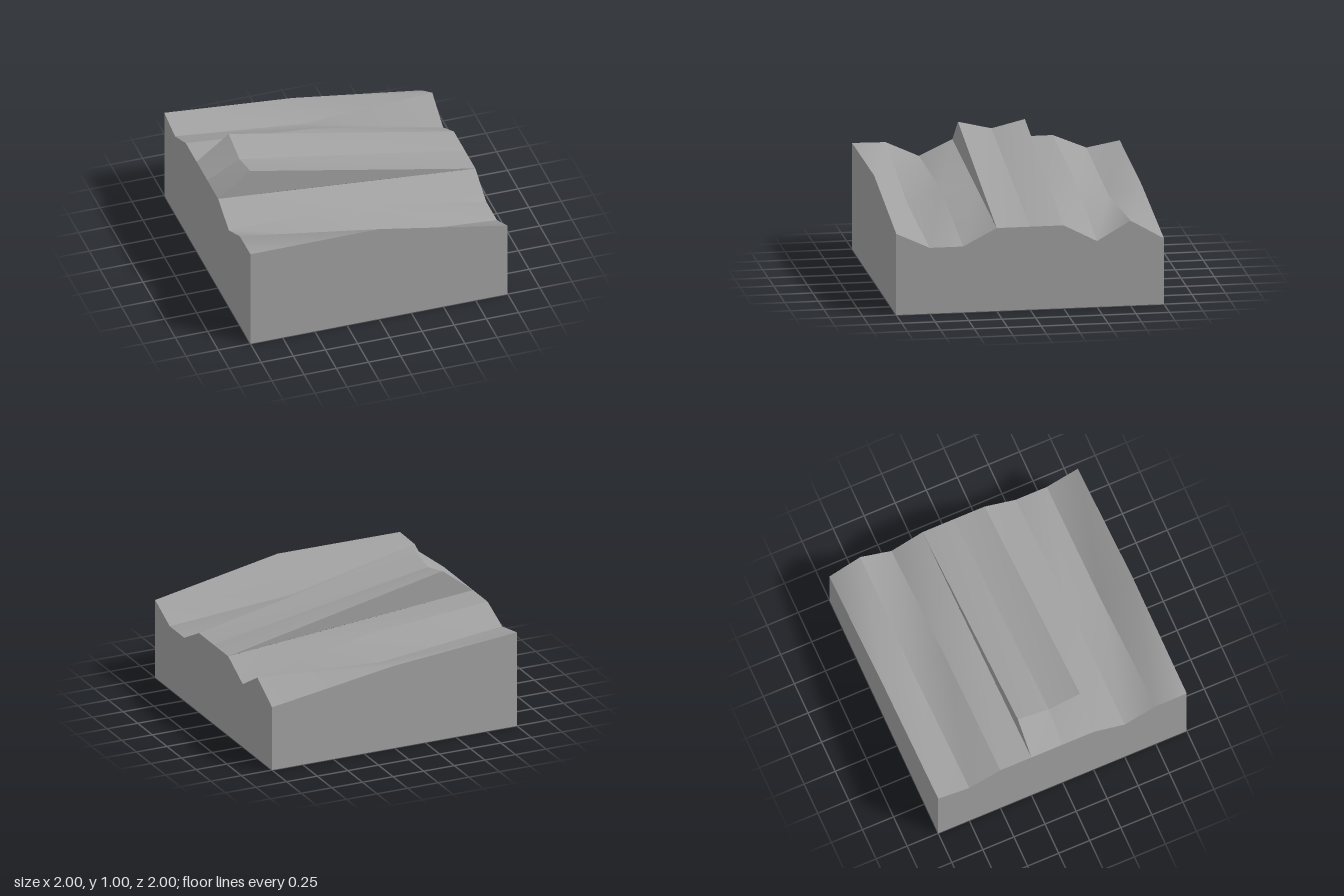
import * as THREE from 'three';

export function createModel() {
  const group = new THREE.Group();
  group.name = 'terrainBlock';
  const stone = new THREE.MeshStandardMaterial({ color: 0xa0a0a0 });
  stone.name = 'stoneGrey';

  // Surface between two matching lines of points, a above or behind b
  function strip(name, a, b) {
    const pos = [], idx = [];
    a.forEach((p, i) => {
      pos.push(...p, ...b[i]);
      if (i < a.length - 1) {
        const k = 2 * i;
        idx.push(k, k + 1, k + 3, k, k + 3, k + 2);
      }
    });
    const geo = new THREE.BufferGeometry();
    geo.setAttribute('position', new THREE.Float32BufferAttribute(pos, 3));
    geo.setIndex(idx);
    geo.computeVertexNormals();
    const mesh = new THREE.Mesh(geo, stone);
    mesh.name = name;
    group.add(mesh);
  }

  // Heights at x = -1, 0, 1 for each row, from z = -1 to z = 1
  const heights = [
    [0.745, 0.655, 0.5],
    [0.7, 0.59, 0.645],
    [0.805, 0.715, 0.5],
    [0.805, 0.717, 0.63],
    [0.805, 0.717, 0.63],
    [0.805, 0.717, 0.63],
    [0.688, 0.68, 0.5],
    [0.803, 0.58, 0.5],
    [0.807, 0.81, 0.617],
  ];
  const rows = heights.map((h, r) => h.map((y, i) => [i - 1, y, -1 + r * 0.25]));
  const drop = (line) => line.map(([x, , z]) => [x, 0, z]);

  // Folded ground on both sides of the ridge
  for (let r = 0; r < 8; r++) {
    if (r === 3 || r === 4) continue;
    strip('groundFold' + (r + 1), rows[r], rows[r + 1]);
  }

  // Ridge: grooved top with a steep end at x = -1
  const ridgeRow = (z, peak) => [[-1, 0.805, z], [-0.75, peak, z], [1, 0.63, z]];
  const ridge = [ridgeRow(-0.25, 1), ridgeRow(0, 0.94), ridgeRow(0.25, 1)];
  for (let i = 0; i < 2; i++) {
    strip('ridgeEnd', ridge[i].slice(0, 2), ridge[i + 1].slice(0, 2));
    strip('ridgeTop', ridge[i].slice(1), ridge[i + 1].slice(1));
  }

  // Upright ridge walls
  const foot = (z) => ridgeRow(z, 0.783);
  strip('ridgeFrontWall', ridge[2], foot(0.25));
  strip('ridgeBackWall', [...ridge[0]].reverse(), foot(-0.25).reverse());

  // Block sides and underside
  const front = rows[8];
  const back = [...rows[0]].reverse();
  const leftSide = rows.map((r) => r[2]).reverse();
  const rightSide = rows.map((r) => r[0]);
  strip('frontSide', front, drop(front));
  strip('backSide', back, drop(back));
  strip('leftSide', leftSide, drop(leftSide));
  strip('rightSide', rightSide, drop(rightSide));
  strip('underside', drop(rows[8]), drop(rows[0]));

  return group;
}
